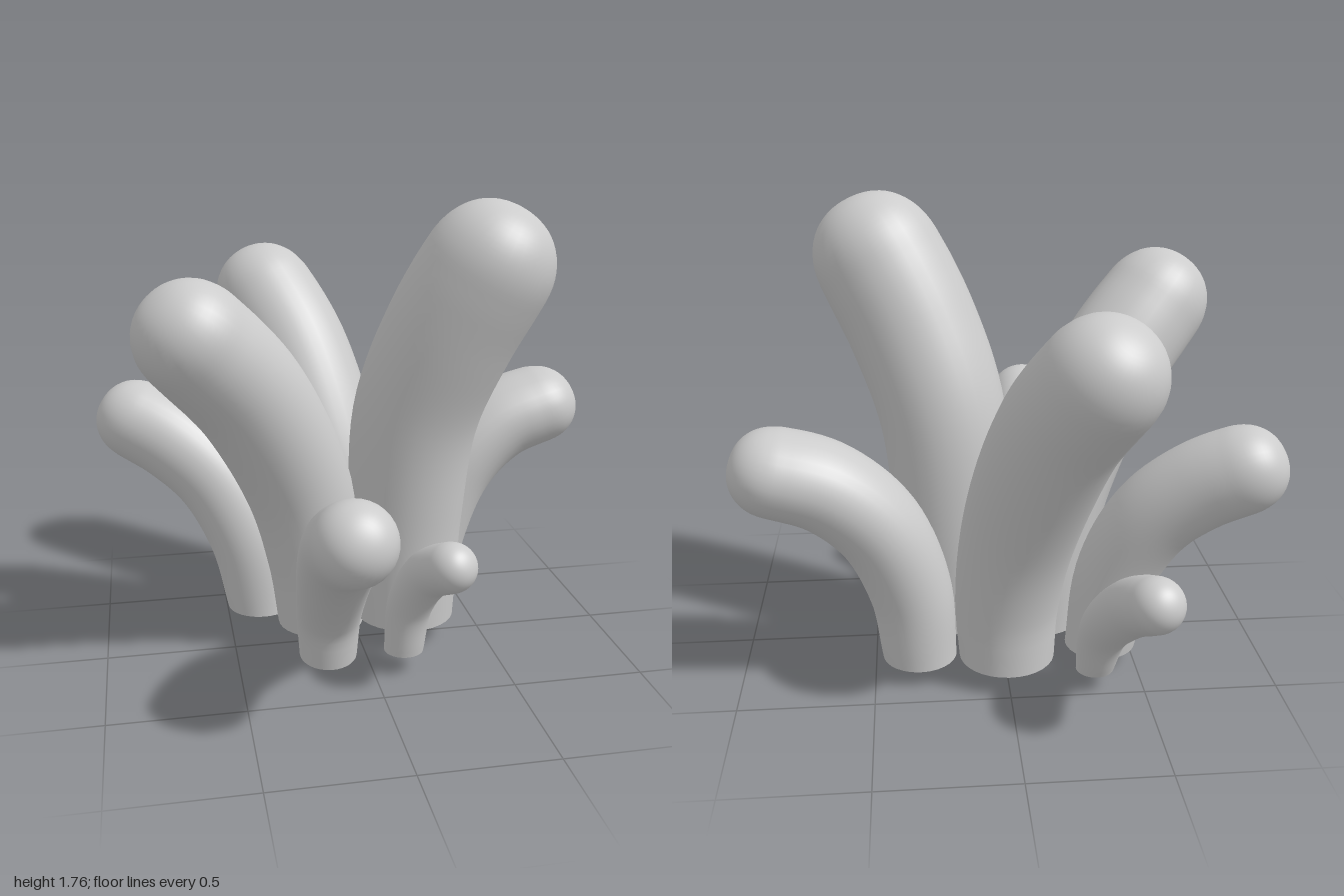
import * as THREE from 'three';

const SIDES = 32, STEPS = 44;

// Each finger: base radius, tip radius, swelling midway and centre line from base to dome
const FINGERS = [
  { name: 'tallFinger', r0: 0.195, r1: 0.235, swell: 0.022,
    path: [[0.19, 0.1, 0], [0.19, 0.55, 0], [0.22, 0.95, 0.03], [0.325, 1.27, 0.105], [0.47, 1.565, 0.185]] },
  { name: 'rightLargeFinger', r0: 0.17, r1: 0.2, swell: 0.022,
    path: [[-0.15, 0.08, -0.03], [-0.17, 0.35, -0.02], [-0.245, 0.69, 0.02], [-0.43, 1.07, 0.13], [-0.66, 1.345, 0.26]] },
  { name: 'backLargeFinger', r0: 0.18, r1: 0.2, swell: 0.025,
    path: [[0, 0.08, -0.31], [0, 0.3, -0.31], [-0.04, 0.62, -0.37], [-0.155, 1.07, -0.57], [-0.285, 1.335, -0.755]] },
  { name: 'leftMediumFinger', r0: 0.14, r1: 0.155, swell: 0.015, widen: 1.18,
    path: [[0.33, 0.07, -0.27], [0.36, 0.35, -0.27], [0.47, 0.62, -0.29], [0.65, 0.79, -0.31], [0.865, 0.865, -0.32]] },
  { name: 'rightMediumFinger', r0: 0.135, r1: 0.158, swell: 0.012,
    path: [[-0.37, 0.07, -0.24], [-0.42, 0.37, -0.25], [-0.54, 0.62, -0.3], [-0.7, 0.77, -0.36], [-0.865, 0.863, -0.425]] },
  { name: 'frontFinger', r0: 0.112, r1: 0.142, swell: 0.014, baseTilt: 0.16,
    path: [[-0.15, 0.018, 0.15], [-0.152, 0.2, 0.185], [-0.158, 0.44, 0.36], [-0.165, 0.63, 0.58], [-0.167, 0.755, 0.83]] },
  { name: 'frontSmallFinger', r0: 0.075, r1: 0.09, swell: 0.006,
    path: [[0.12, 0.08, 0.29], [0.135, 0.28, 0.32], [0.18, 0.44, 0.42], [0.237, 0.525, 0.56]] },
  { name: 'backSmallFinger', r0: 0.07, r1: 0.09, swell: 0.02,
    path: [[-0.32, 0.07, -0.43], [-0.34, 0.27, -0.5], [-0.4, 0.45, -0.67], [-0.455, 0.56, -0.855]] },
];

// Open-bottomed tube swept along a curve, its radius running out into a rounded tip.
// widen: sideways stretch at the tip; baseTilt: how far the cut base leans to the front
function fingerGeometry({ r0, r1, swell, path, widen = 1, baseTilt = 0 }) {
  const points = path.map((p) => new THREE.Vector3(...p));
  const last = points[points.length - 1];
  const end = new THREE.CatmullRomCurve3(points, false, 'centripetal').getTangentAt(1);
  const tip = last.clone().addScaledVector(end, r1 * 0.8);
  const curve = new THREE.CatmullRomCurve3([...points, tip], false, 'centripetal');
  const dome = (r1 * 1.1) / curve.getLength();
  const lean = last.clone().sub(points[0]);
  const across = new THREE.Vector3(lean.z, 0, -lean.x).normalize();
  const base = new THREE.Vector3(0, 1, baseTilt).normalize();
  const positions = [], index = [];

  for (let i = 0; i < STEPS; i++) {
    // Rings crowd together towards the tip
    const t = Math.sin((i / STEPS) * Math.PI / 2);
    const centre = curve.getPointAt(t);
    const tangent = base.clone().lerp(curve.getTangentAt(t), Math.min(1, t / 0.2)).normalize();
    const s = Math.min(1, t * 1.25);
    const k = Math.max(0, (t - 1 + dome) / dome);
    const radius = (THREE.MathUtils.lerp(r0, r1, s) + swell * Math.sin(Math.PI * t))
      * (1 - k ** 2.25) ** (1 / 2.25);
    const wide = THREE.MathUtils.lerp(1, widen, s);
    const u = across.clone().addScaledVector(tangent, -across.dot(tangent)).normalize();
    const v = new THREE.Vector3().crossVectors(tangent, u);
    for (let j = 0; j < SIDES; j++) {
      const a = (j / SIDES) * Math.PI * 2;
      const p = centre.clone()
        .addScaledVector(u, Math.cos(a) * radius * wide)
        .addScaledVector(v, Math.sin(a) * radius);
      positions.push(p.x, p.y, p.z);
    }
  }
  positions.push(tip.x, tip.y, tip.z);

  const apex = STEPS * SIDES;
  for (let i = 0; i < STEPS; i++) {
    for (let j = 0; j < SIDES; j++) {
      const a = i * SIDES + j, b = i * SIDES + (j + 1) % SIDES;
      if (i === STEPS - 1) index.push(a, b, apex);
      else index.push(a, b, b + SIDES, a, b + SIDES, a + SIDES);
    }
  }
  const geometry = new THREE.BufferGeometry();
  geometry.setAttribute('position', new THREE.Float32BufferAttribute(positions, 3));
  geometry.setIndex(index);
  geometry.computeVertexNormals();
  return geometry;
}

export function createModel() {
  const group = new THREE.Group();
  group.name = 'fingerCoral';
  const material = new THREE.MeshStandardMaterial({ color: 0xcccccc, side: THREE.DoubleSide });
  for (const finger of FINGERS) {
    const mesh = new THREE.Mesh(fingerGeometry(finger), material);
    mesh.name = finger.name;
    group.add(mesh);
  }
  return group;
}
